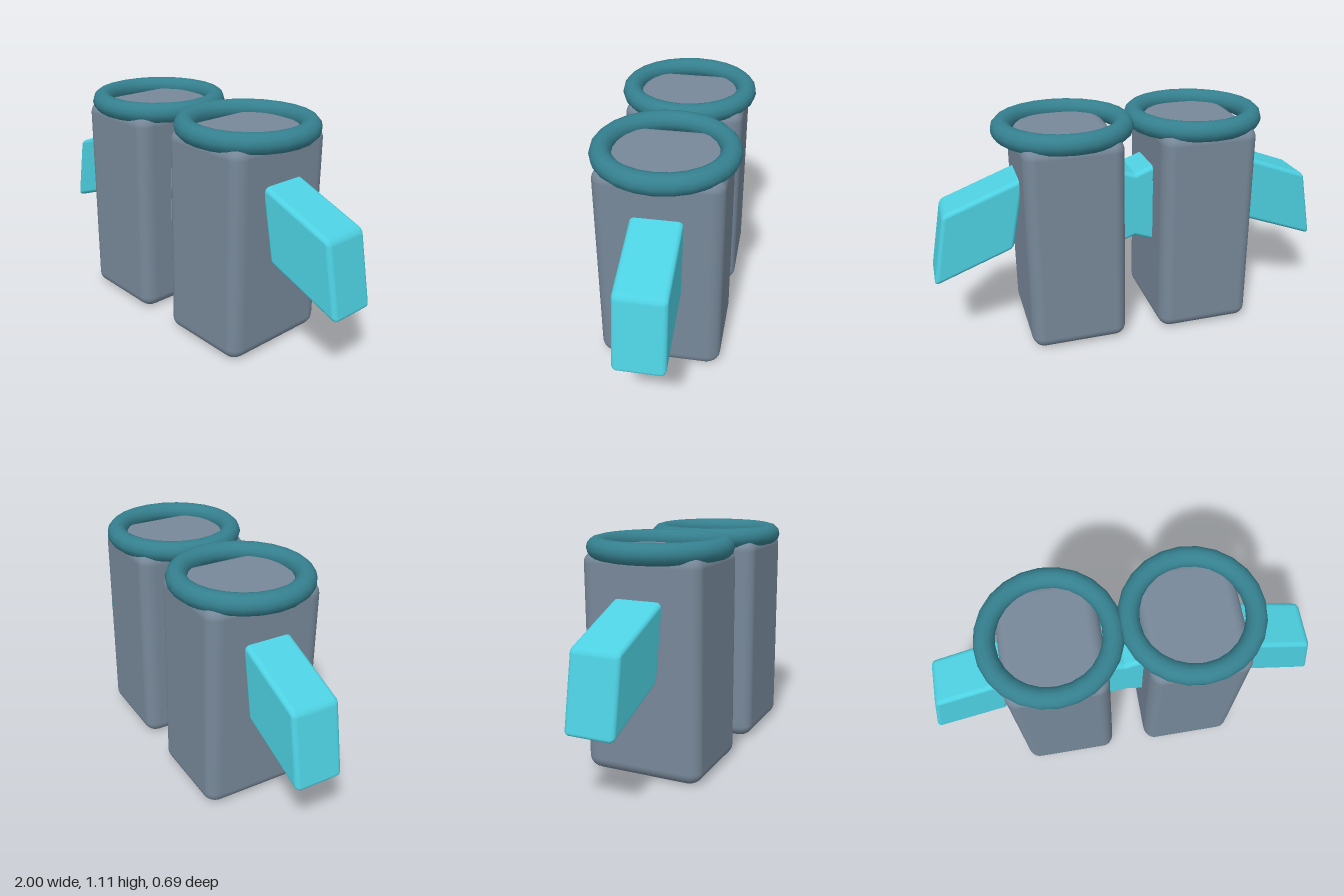
import * as THREE from 'three';
import { RoundedBoxGeometry } from 'three/addons/geometries/RoundedBoxGeometry.js';

const shaftMat = new THREE.MeshStandardMaterial({ color: 0x778899 });
const cuffMat = new THREE.MeshStandardMaterial({ color: 0x35808f });
const finMat = new THREE.MeshStandardMaterial({ color: 0x4dd0e1 });

function addMesh(parent, name, geometry, material) {
  const mesh = new THREE.Mesh(geometry, material);
  mesh.name = name;
  parent.add(mesh);
  return mesh;
}

// Slanted fin pointing to +x: a rounded box sheared into a parallelogram
function finGeometry() {
  const g = new RoundedBoxGeometry(0.42, 0.37, 0.24, 4, 0.025);
  const shear = new THREE.Matrix4().set(
    0.935, -0.19, 0, 0.445,
    -0.354, 0.98, 0, 0.602,
    0, 0, 1, 0,
    0, 0, 0, 1
  );
  return g.applyMatrix4(shear);
}

function createBoot(name) {
  const boot = new THREE.Group();
  boot.name = name;

  // Shaft, with softer rounding along its depth
  const shaft = new RoundedBoxGeometry(0.48, 1.055, 0.59 / 1.2, 4, 0.06);
  shaft.scale(1, 1, 1.2).translate(0, 0.5275, 0);
  addMesh(boot, 'shaft', shaft, shaftMat);

  // Ring cuff around the top
  const cuff = new THREE.TorusGeometry(0.293, 0.05, 12, 24);
  cuff.rotateX(Math.PI / 2).translate(0, 1.06, 0);
  addMesh(boot, 'cuff', cuff, cuffMat);

  // A fin on each side, turned half round for the other side
  addMesh(boot, 'leftFin', finGeometry(), finMat);
  addMesh(boot, 'rightFin', finGeometry(), finMat).rotation.y = Math.PI;
  return boot;
}

export function createModel() {
  const model = new THREE.Group();
  model.name = 'finnedBoots';
  for (const side of [1, -1]) {
    const boot = createBoot(side > 0 ? 'leftBoot' : 'rightBoot');
    boot.position.x = side * 0.33;
    model.add(boot);
  }
  return model;
}
